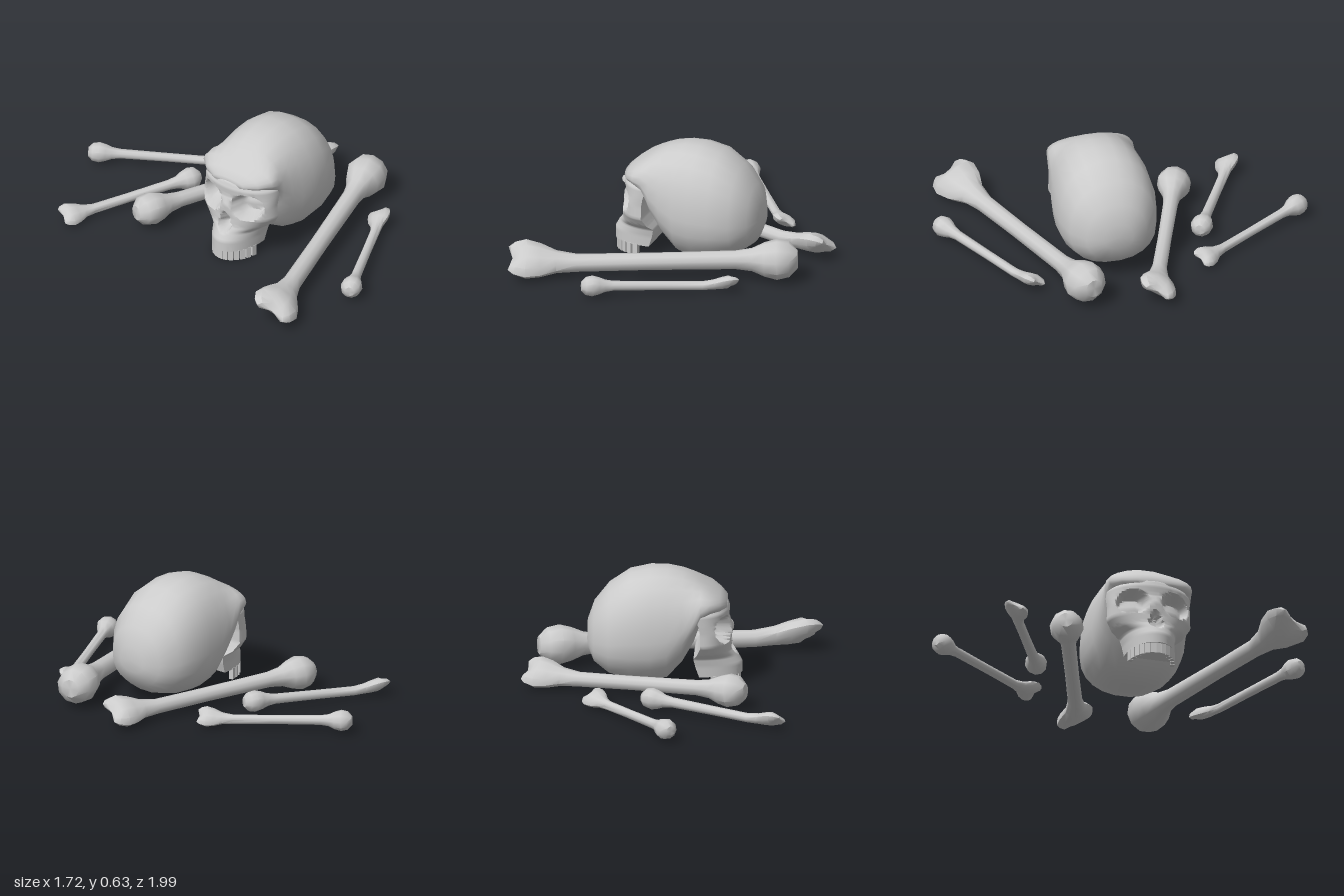
import * as THREE from 'three';
import { toCreasedNormals } from 'three/addons/utils/BufferGeometryUtils.js';

const material = new THREE.MeshStandardMaterial({ color: 0xcccccc, side: THREE.DoubleSide });

// Skin a list of equal-length closed rings and close both ends with fans.
function loft(rings, crease) {
  const n = rings[0].length, pos = [], index = [];
  rings.forEach(r => r.forEach(p => pos.push(...p)));
  for (let i = 0; i < rings.length - 1; i++) {
    for (let j = 0; j < n; j++) {
      const a = i * n + j, b = i * n + (j + 1) % n;
      index.push(a, b, a + n, b, b + n, a + n);
    }
  }
  [0, rings.length - 1].forEach(i => {
    const c = [0, 1, 2].map(k => rings[i].reduce((s, p) => s + p[k], 0) / n);
    const ci = pos.length / 3;
    pos.push(...c);
    for (let j = 0; j < n; j++) {
      const a = i * n + j, b = i * n + (j + 1) % n;
      if (i === 0) index.push(ci, b, a); else index.push(ci, a, b);
    }
  });
  const g = new THREE.BufferGeometry();
  g.setAttribute('position', new THREE.Float32BufferAttribute(pos, 3));
  g.setIndex(index);
  return toCreasedNormals(g, crease);
}

function ring(n, fn) {
  return Array.from({ length: n }, (_, j) => fn(j / n * Math.PI * 2));
}

// Signed power, for squarer or rounder ellipses.
function spow(v, e) {
  return Math.sign(v) * Math.pow(Math.abs(v), e);
}

function part(name, geometry) {
  const m = new THREE.Mesh(geometry, material);
  m.name = name;
  return m;
}

// Long bone: ball end at "from", forked end at "to", k = ball radius.
function bone(name, from, to, k) {
  const a = new THREE.Vector3(...from), b = new THREE.Vector3(...to);
  const L = a.distanceTo(b);
  // distance along, half width, half height, lift, fork depth
  const stations = [
    [-k, 0.45, 0.45, 0, 0], [-0.6 * k, 0.88, 0.85, 0, 0], [0, 1.02, 0.97, 0, 0],
    [0.6 * k, 0.85, 0.82, 0, 0], [1.2 * k, 0.56, 0.58, 0, 0], [2 * k, 0.45, 0.46, 0, 0],
    [L * 0.5, 0.42, 0.42, -0.05, 0], [L - 2.8 * k, 0.45, 0.42, -0.1, 0],
    [L - 1.8 * k, 0.62, 0.46, 0, 0], [L - 1.05 * k, 1.0, 0.55, 0.12, 0],
    [L - 0.35 * k, 1.18, 0.62, 0.22, 0.15], [L + 0.15 * k, 1.02, 0.52, 0.27, 0.5],
    [L + 0.4 * k, 0.75, 0.34, 0.28, 0.6]
  ];
  const rings = stations.map(([z, w, h, lift, fork]) => ring(10, t => {
    const c = Math.cos(t), s = Math.sin(t);
    const pinch = 1 - fork * 0.6 * (1 - Math.abs(c));
    return [w * k * c, (h * s * pinch + lift) * k, z + fork * k * (Math.abs(c) - 0.8)];
  }));
  const m = part(name, loft(rings, 0.8));
  m.position.copy(a);
  m.lookAt(b);
  m.rotateZ(-0.48);
  return m;
}

// Braincase: cross-sections from back to forehead.
function cranium() {
  // z, bottom, top, half width
  const sections = [
    [-0.355, 0.2, 0.34, 0.08], [-0.32, 0.12, 0.44, 0.165], [-0.24, 0.06, 0.54, 0.235],
    [-0.13, 0.03, 0.615, 0.265], [-0.02, 0.02, 0.64, 0.268], [0.07, 0.04, 0.64, 0.26],
    [0.15, 0.13, 0.622, 0.248], [0.21, 0.24, 0.595, 0.24], [0.25, 0.36, 0.57, 0.238],
    [0.3, 0.41, 0.54, 0.23], [0.35, 0.42, 0.505, 0.175], [0.385, 0.43, 0.475, 0.1]
  ];
  return loft(sections.map(([z, lo, hi, w]) => {
    const mid = lo + (hi - lo) * 0.42;
    return ring(22, t => {
      const s = spow(Math.sin(t), 0.88);
      return [w * spow(Math.cos(t), 0.88), mid + s * (s > 0 ? hi - mid : mid - lo), z];
    });
  }), 1);
}

// Face: horizontal sections with eye sockets and nose opening pressed in.
function face() {
  // y, half width, front z, back z
  const profile = [
    [0.062, 0.13, 0.465, 0.24], [0.12, 0.135, 0.465, 0.22], [0.165, 0.145, 0.44, 0.21],
    [0.2, 0.195, 0.415, 0.23], [0.25, 0.228, 0.41, 0.25], [0.32, 0.225, 0.415, 0.25],
    [0.37, 0.228, 0.395, 0.24], [0.42, 0.23, 0.4, 0.22], [0.45, 0.21, 0.39, 0.2],
    [0.48, 0.17, 0.35, 0.2]
  ];
  const rows = [];
  for (let i = 0; i < profile.length - 1; i++) {
    for (let q = 0; q < 5; q++) {
      rows.push(profile[i].map((v, k) => THREE.MathUtils.lerp(v, profile[i + 1][k], q / 5)));
    }
  }
  rows.push(profile[profile.length - 1]);
  return loft(rows.map(([y, w, zf, zb]) => ring(80, t => {
    const c = Math.cos(t), x = w * Math.sin(t);
    let z = c > 0 ? zb + (zf - zb) * Math.pow(c, 0.9) : zb;
    if (c > 0) {
      const eye = 1 - ((Math.abs(x) - 0.115) / 0.083) ** 2 - ((y - 0.325) / 0.073) ** 2;
      if (eye > 0) z -= 0.1 * Math.min(1, eye * 2);
      const noseWidth = 0.045 - (y - 0.17) * 0.25;
      const nose = 1 - (x / noseWidth) ** 2 - ((y - 0.215) / 0.055) ** 2;
      if (nose > 0) z -= 0.07 * Math.min(1, nose * 2);
    }
    return [x, y, Math.max(z, zb)];
  })), 1);
}

function skull() {
  const g = new THREE.Group();
  g.name = 'skull';
  g.add(part('cranium', cranium()), part('face', face()));
  // Upper teeth set on a horseshoe arc
  const count = 13;
  for (let i = 0; i < count; i++) {
    const a = (i / (count - 1) - 0.5) * 2.7;
    const tooth = part('tooth', new THREE.BoxGeometry(0.027, 0.062, 0.022));
    tooth.position.set(0.118 * Math.sin(a), 0.036, 0.28 + 0.165 * Math.cos(a));
    tooth.rotation.y = a;
    g.add(tooth);
  }
  g.position.set(0.187, 0, -0.034);
  g.rotation.y = -1.07;
  return g;
}

export function createModel() {
  const model = new THREE.Group();
  model.name = 'skullAndBones';
  model.add(
    skull(),
    bone('frontLongBone', [0.75, 0.125, -0.08], [-0.22, 0.08, 0.885], 0.11),
    bone('backLongBone', [-0.415, 0.105, -0.27], [0.68, 0.07, -0.457], 0.091),
    bone('frontSmallBone', [0.275, 0.068, 0.81], [0.71, 0.045, 0.2], 0.058),
    bone('sideSmallBone', [-0.085, 0.07, -0.51], [-0.82, 0.045, -0.463], 0.06),
    bone('backSmallBone', [-0.42, 0.07, -0.94], [0.235, 0.045, -0.595], 0.057)
  );
  return model;
}
